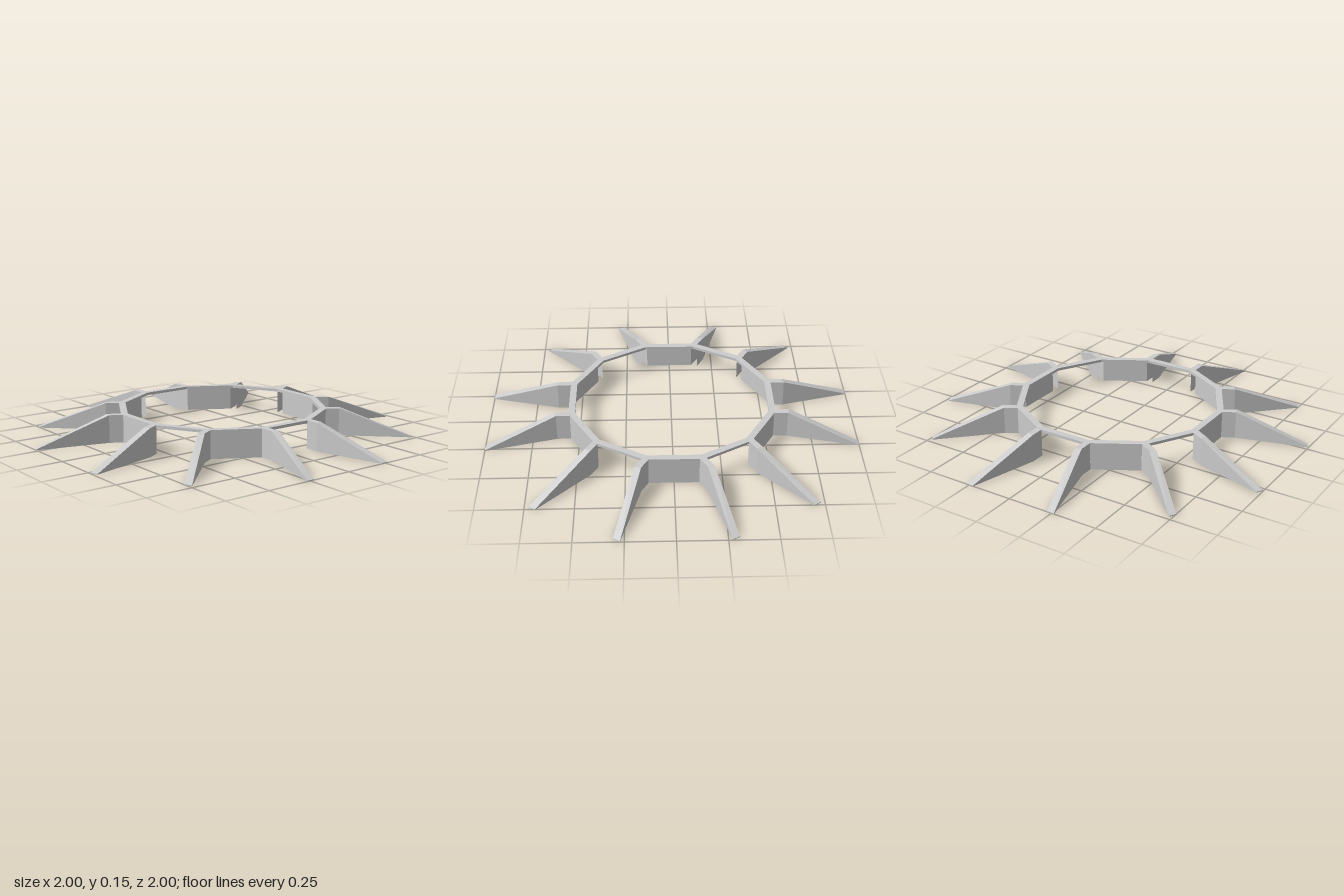
import * as THREE from 'three';

const TOP = 0.15, BEAM = 0.015, OUTER = 0.575, INNER = 0.538;

// regular 12-sided outline with flats facing the axes
function outline(path, radius) {
  const points = [];
  for (let i = 0; i < 12; i++) {
    const a = Math.PI / 12 + (i * Math.PI) / 6;
    points.push(new THREE.Vector2(Math.cos(a) * radius, Math.sin(a) * radius));
  }
  return path.setFromPoints(points);
}

// hollow bent fin, open underneath: [inner x, inner z, outer x, outer z, height]
function finGeometry() {
  const stations = [
    [0.13, 0.555, 0.165, 0.546, TOP],
    [0.13, 0.63, 0.165, 0.62, TOP],
    [0.225, 1, 0.265, 1, 0.004],
  ];
  const rows = stations.map(([xi, zi, xo, zo, h]) => [
    [xi, 0, zi], [xi, h, zi], [xo, h, zo], [xo, 0, zo],
  ]);
  const positions = [];
  const quad = (a, b, c, d) => positions.push(...a, ...b, ...c, ...a, ...c, ...d);
  for (let i = 0; i < 2; i++) {
    for (let j = 0; j < 3; j++) {
      quad(rows[i][j], rows[i + 1][j], rows[i + 1][j + 1], rows[i][j + 1]);
    }
  }
  const [a, b, c, d] = rows[2];
  quad(a, d, c, b); // tip
  const geometry = new THREE.BufferGeometry();
  geometry.setAttribute('position', new THREE.Float32BufferAttribute(positions, 3));
  geometry.computeVertexNormals();
  return geometry;
}

export function createModel() {
  const model = new THREE.Group();
  const material = new THREE.MeshStandardMaterial({
    color: 0xcccccc, flatShading: true, side: THREE.DoubleSide,
  });

  // thin ring beam along the top
  const shape = outline(new THREE.Shape(), OUTER);
  shape.holes.push(outline(new THREE.Path(), INNER));
  const ringGeometry = new THREE.ExtrudeGeometry(shape, { depth: BEAM, bevelEnabled: false });
  ringGeometry.rotateX(-Math.PI / 2);
  const ring = new THREE.Mesh(ringGeometry, material);
  ring.name = 'ringBeam';
  ring.position.y = TOP - BEAM;
  model.add(ring);

  const fin = finGeometry();
  const wallGeometry = new THREE.PlaneGeometry(0.26, TOP);
  wallGeometry.translate(0, TOP / 2, OUTER * Math.cos(Math.PI / 12));

  for (let k = 0; k < 6; k++) {
    // pair of mirrored fins beside each open bay
    const pair = new THREE.Group();
    pair.name = 'finPair';
    pair.rotation.y = (k * Math.PI) / 3;
    for (const side of [1, -1]) {
      const mesh = new THREE.Mesh(fin, material);
      mesh.name = side > 0 ? 'leftFin' : 'rightFin';
      mesh.scale.x = side;
      pair.add(mesh);
    }
    model.add(pair);

    // wall panel closing every other bay
    const wall = new THREE.Mesh(wallGeometry, material);
    wall.name = 'wallPanel';
    wall.rotation.y = Math.PI / 6 + (k * Math.PI) / 3;
    model.add(wall);
  }
  return model;
}
